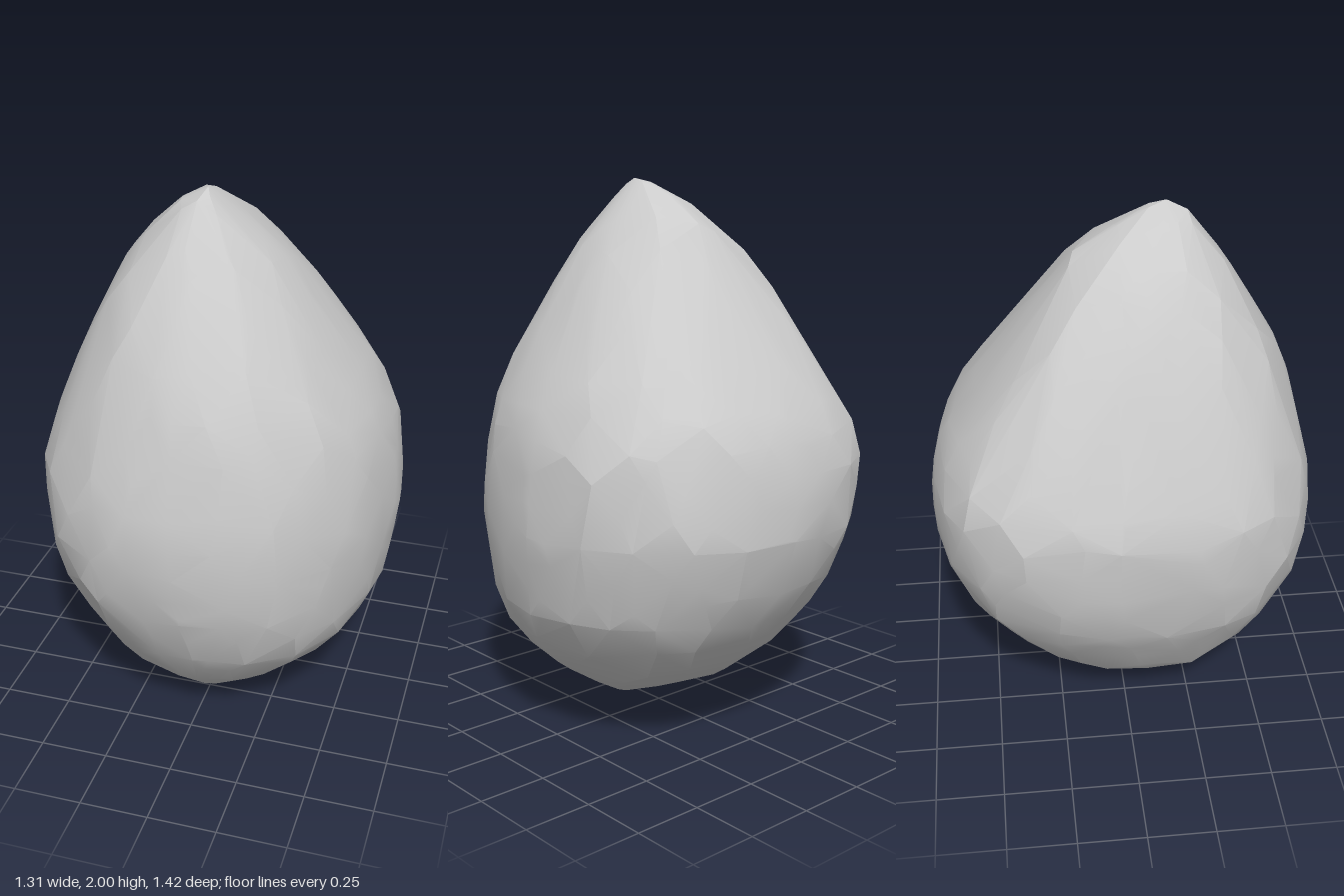
import * as THREE from 'three';
import { ConvexGeometry } from 'three/addons/geometries/ConvexGeometry.js';
import { mergeVertices, toCreasedNormals } from 'three/addons/utils/BufferGeometryUtils.js';

// Side profiles of the boulder as [height, position] pairs
const RIGHT = [[0, -.02], [.07, -.18], [.23, -.39], [.56, -.59], [.76, -.645], [1.05, -.66],
  [1.36, -.52], [1.6, -.41], [1.8, -.285], [1.96, -.11], [2, -.02]];
const LEFT = [[0, -.02], [.03, .12], [.25, .455], [.39, .57], [.5, .62], [.78, .658], [1, .637],
  [1.155, .6], [1.29, .53], [1.69, .275], [1.78, .21], [2, -.02]];
const FRONT = [[0, .13], [.015, .2], [.07, .33], [.19, .46], [.39, .6], [.6, .68], [.8, .71],
  [.97, .705], [1.21, .65], [1.38, .6], [1.51, .54], [1.82, .35], [1.97, .23], [2, .16]];
const BACK = [[0, .13], [.09, -.07], [.2, -.32], [.34, -.49], [.47, -.59], [.61, -.66], [.8, -.71],
  [.97, -.7], [1.15, -.65], [1.32, -.535], [1.6, -.335], [1.84, -.16], [1.93, -.02], [1.99, .1], [2, .16]];

// Squareness of each corner, [low, high] on the stone
const CORNERS = {
  frontLeft: [2.05, 2.15], frontRight: [2.65, 2.3],
  backLeft: [2.4, 2.75], backRight: [2.45, 3.2]
};

// Heights of the rings that carry the facet corners
const LEVELS = [.015, .07, .13, .2, .29, .39, .49, .59, .69, .79, .9, 1.01, 1.12, 1.22, 1.34,
  1.48, 1.62, 1.75, 1.84, 1.93, 1.97];

function at(profile, y) {
  const i = Math.max(1, profile.findIndex(p => p[0] >= y));
  const [y0, v0] = profile[i - 1], [y1, v1] = profile[i];
  return THREE.MathUtils.lerp(v0, v1, (y - y0) / (y1 - y0));
}

function seeded(seed) {
  return () => {
    seed = (seed * 16807) % 2147483647;
    return seed / 2147483647;
  };
}

// Point on the rounded-square cross-section at one height
function surfacePoint(y, angle) {
  const l = at(LEFT, y), r = at(RIGHT, y), f = at(FRONT, y), b = at(BACK, y);
  const cx = (l + r) / 2;
  // the stone is widest a little behind its middle
  const cz = (f + b) / 2 - .06 * Math.sin(y * Math.PI / 2) ** 2;
  const c = Math.cos(angle), s = Math.sin(angle);
  const [low, high] = CORNERS[(s > 0 ? 'front' : 'back') + (c > 0 ? 'Left' : 'Right')];
  const power = THREE.MathUtils.lerp(low, high, THREE.MathUtils.smoothstep(y, .7, 1.45));
  const k = Math.pow(Math.abs(c) ** power + Math.abs(s) ** power, -1 / power);
  return new THREE.Vector3(
    cx + k * c * (l - r) / 2,
    y,
    cz + k * s * (s > 0 ? f - cz : cz - b)
  );
}

export function createModel() {
  const group = new THREE.Group();
  group.name = 'boulder';
  const random = seeded(4217);

  // Irregular corner points between the two blunt tips
  const points = [new THREE.Vector3(-.02, 0, .13), new THREE.Vector3(-.02, 2, .16)];
  LEVELS.forEach((level, row) => {
    const width = at(LEFT, level) - at(RIGHT, level);
    const count = Math.max(6, Math.round(width * 18));
    for (let i = 0; i < count; i++) {
      const angle = (i + (row % 2) / 2 + (random() - .5) * .6) / count * Math.PI * 2;
      const y = THREE.MathUtils.clamp(level + (random() - .5) * .06, .012, 1.985);
      const p = surfacePoint(y, angle);
      const chip = 1 - random() * .012;
      p.x *= chip;
      p.z = .05 + (p.z - .05) * chip;
      points.push(p);
    }
    // exact corners on the four sides keep the outline
    for (let q = 0; q < 4; q++) points.push(surfacePoint(level, q * Math.PI / 2));
  });

  // Convex stone with softened facets
  let geometry = new ConvexGeometry(points);
  geometry.deleteAttribute('normal');
  geometry = toCreasedNormals(mergeVertices(geometry, 1e-4), .27);

  const stone = new THREE.Mesh(geometry, new THREE.MeshStandardMaterial({ color: 0xcccccc }));
  stone.name = 'stone';
  group.add(stone);
  return group;
}
